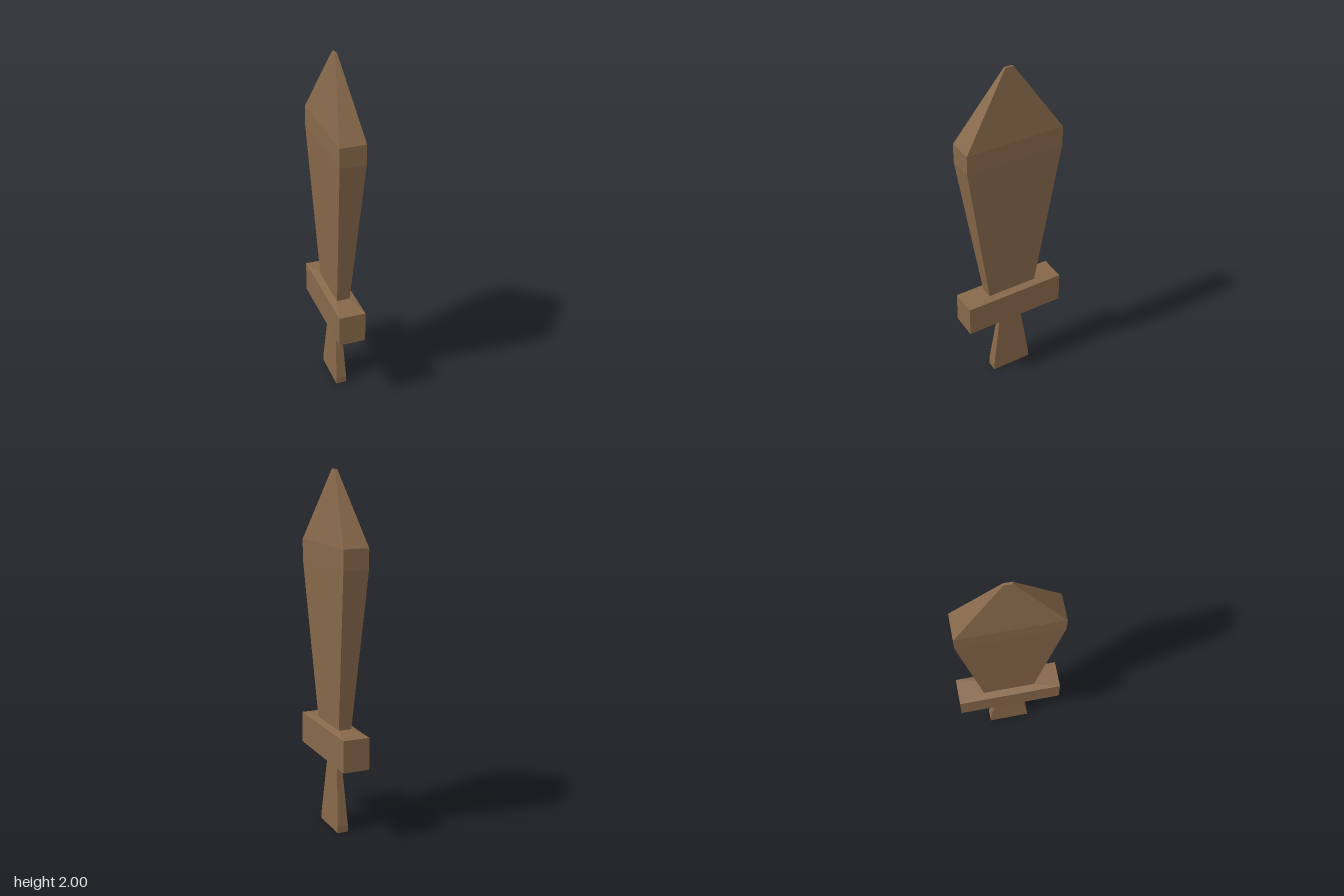
import * as THREE from 'three';

// Box whose rows of corners follow rectangular sections: [y, half width x, half depth z]
function loft(sections) {
  const n = sections.length - 1;
  const box = new THREE.BoxGeometry(2, n, 2, 1, n, 1);
  const pos = box.attributes.position;
  for (let i = 0; i < pos.count; i++) {
    const [y, hx, hz] = sections[Math.round(pos.getY(i) + n / 2)];
    pos.setXYZ(i, pos.getX(i) * hx, y, pos.getZ(i) * hz);
  }
  const geometry = box.toNonIndexed();
  geometry.computeVertexNormals();
  return geometry;
}

export function createModel() {
  const wood = new THREE.MeshStandardMaterial({ color: 0x87684a });
  wood.name = 'brown wood';
  wood.flatShading = true;

  const group = new THREE.Group();
  group.name = 'woodenSword';

  const parts = {
    // Widening blade with a short straight shoulder and a blunt tip
    blade: [[0.61, 0.037, 0.148], [1.5, 0.072, 0.284], [1.61, 0.072, 0.284], [2, 0.006, 0.023]],
    // Crossguard with a slightly raised top
    guard: [[0.42, 0.076, 0.298], [0.6, 0.076, 0.298], [0.61, 0.037, 0.148]],
    // Flared collar under the guard
    collar: [[0.38, 0.015, 0.07], [0.42, 0.037, 0.148]],
    // Grip that widens towards the pommel
    grip: [[0, 0.031, 0.119], [0.04, 0.031, 0.119], [0.38, 0.015, 0.07]],
  };
  for (const [name, sections] of Object.entries(parts)) {
    const mesh = new THREE.Mesh(loft(sections), wood);
    mesh.name = name;
    group.add(mesh);
  }
  return group;
}
